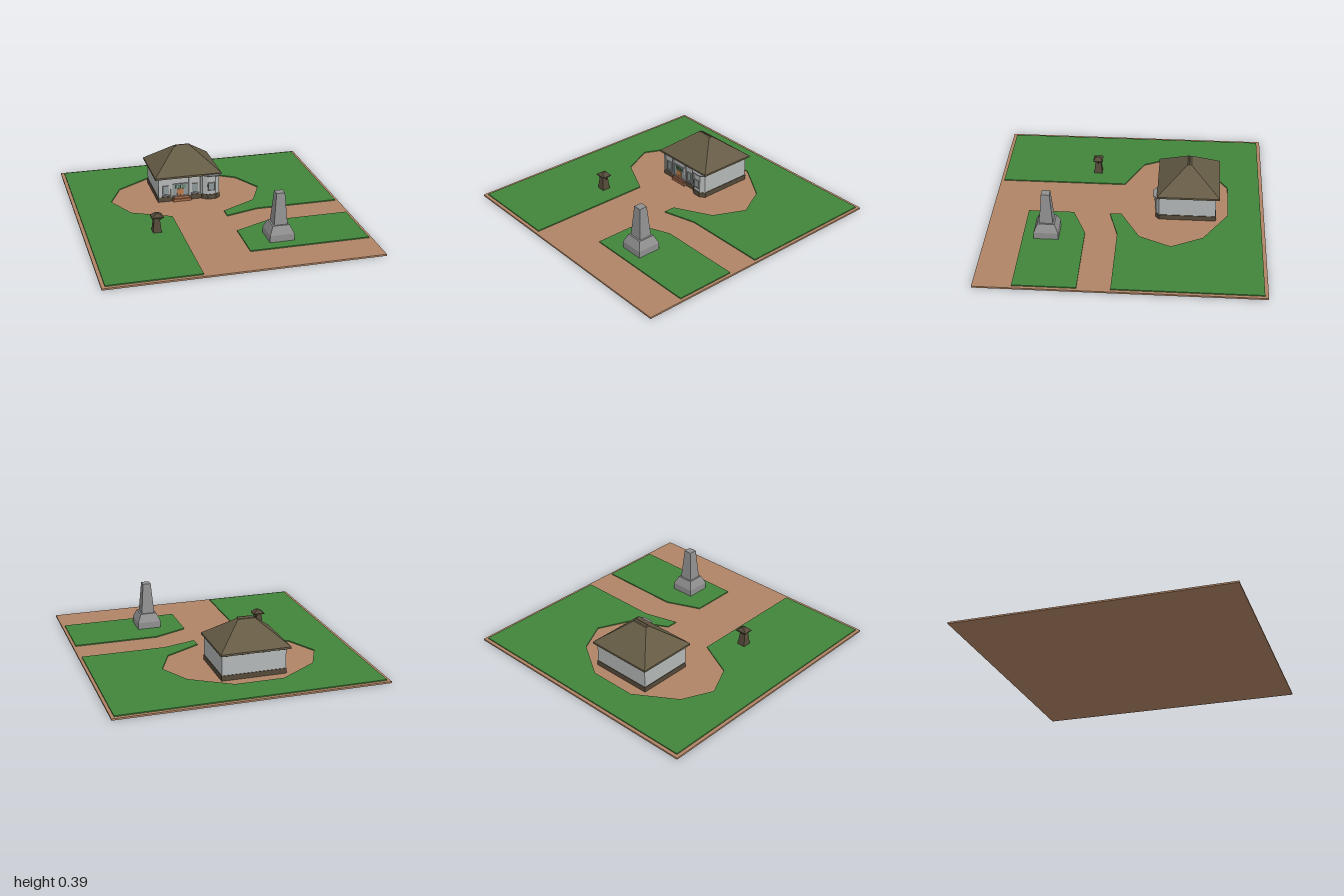
import * as THREE from 'three';

const paint = (name, color) => {
  const m = new THREE.MeshStandardMaterial({ color });
  m.name = name;
  return m;
};

export function createModel() {
  const dirt = paint('dirt', 0xb08465);
  const grass = paint('grass', 0x42853b);
  const thatch = paint('roof brown', 0x655b45);
  const wall = paint('wall grey', 0xb4b8b7);
  const stone = paint('stone grey', 0x909090);
  const plinth = paint('dark timber', 0x554a3a);
  const brick = paint('step brick', 0xa0684a);
  const wood = paint('door wood', 0xb87a4a);
  const glass = paint('window glass', 0x8d9898);
  const green = paint('shutter green', 0x3f7a52);

  const model = new THREE.Group();
  model.name = 'villageSquare';
  const group = (name) => {
    const g = new THREE.Group();
    g.name = name;
    model.add(g);
    return g;
  };
  const add = (parent, name, geo, mat) => {
    const m = new THREE.Mesh(geo, mat);
    m.name = name;
    parent.add(m);
    return m;
  };
  // Box given by its limits
  const box = (parent, name, mat, x0, x1, y0, y1, z0, z1) =>
    add(parent, name, new THREE.BoxGeometry(x1 - x0, y1 - y0, z1 - z0)
      .translate((x0 + x1) / 2, (y0 + y1) / 2, (z0 + z1) / 2), mat);
  // Box whose top rectangle differs from its bottom one
  const taper = (parent, name, mat, x, z, y0, y1, w0, d0, w1, d1) => {
    const geo = new THREE.BoxGeometry(1, y1 - y0, 1);
    const p = geo.attributes.position;
    for (let i = 0; i < p.count; i++) {
      const top = p.getY(i) > 0;
      p.setX(i, p.getX(i) * (top ? w1 : w0));
      p.setZ(i, p.getZ(i) * (top ? d1 : d0));
    }
    const flat = geo.toNonIndexed();
    flat.computeVertexNormals();
    return add(parent, name, flat.translate(x, (y0 + y1) / 2, z), mat);
  };
  // Slab from an outline of [x, z] points
  const slab = (parent, name, mat, points, y0, y1) => {
    const shape = new THREE.Shape(points.map(([x, z]) => new THREE.Vector2(x, -z)));
    const geo = new THREE.ExtrudeGeometry(shape, { depth: y1 - y0, bevelEnabled: false });
    return add(parent, name, geo.rotateX(-Math.PI / 2).translate(0, y0, 0), mat);
  };

  // Ground with two lawns around the paths and the clearing
  const ground = group('ground');
  box(ground, 'earthBase', dirt, -0.98, 0.975, 0, 0.012, -1, 1);
  slab(ground, 'mainLawn', grass, [
    [-0.955, 0.975], [-0.3, 0.975], [-0.3, 0.045], [-0.58, -0.09], [-0.69, -0.32],
    [-0.585, -0.545], [-0.295, -0.735], [0.06, -0.735], [0.345, -0.555], [0.46, -0.33],
    [0.355, -0.1], [0.09, 0.045], [0.09, 0.13], [0.335, 0.06], [0.953, 0.06],
    [0.953, -0.975], [-0.955, -0.975]], 0.012, 0.02);
  slab(ground, 'smallLawn', grass, [
    [0.09, 0.395], [0.335, 0.29], [0.953, 0.29], [0.953, 0.73], [0.09, 0.73]], 0.012, 0.02);

  // House body
  const house = group('house');
  box(house, 'plinth', plinth, -0.347, 0.127, 0.012, 0.05, -0.647, -0.238);
  box(house, 'walls', wall, -0.343, 0.123, 0.05, 0.2, -0.643, -0.242);

  // Hipped roof with a short ridge
  box(house, 'eaves', thatch, -0.37, 0.14, 0.2, 0.214, -0.67, -0.215);
  taper(house, 'roof', thatch, -0.115, -0.4425, 0.214, 0.375, 0.51, 0.455, 0.125, 0.03);
  taper(house, 'ridge', thatch, -0.11, -0.435, 0.375, 0.386, 0.115, 0.022, 0.11, 0.008);

  // Chamfered bay at the front right corner
  const bay = (o, y0, y1, name, mat) => slab(house, name, mat, [
    [-0.005 - o, -0.245], [-0.005 - o, -0.232], [0.03, -0.208 + o], [0.092, -0.208 + o],
    [0.125 + o, -0.232], [0.125 + o, -0.245]], y0, y1);
  bay(0.004, 0.012, 0.05, 'bayPlinth', plinth);
  bay(0, 0.05, 0.2, 'bayWall', wall);
  slab(house, 'bayCanopy', stone, [
    [0, -0.24], [0, -0.212], [0.035, -0.187], [0.108, -0.187],
    [0.138, -0.212], [0.138, -0.24]], 0.2, 0.206);

  // Framed windows; z is the wall face
  const window = (x0, x1, y0, y1, z) => {
    const t = 0.005;
    box(house, 'windowPane', glass, x0, x1, y0, y1, z, z + 0.003);
    for (const x of [x0, x1 - t]) box(house, 'windowJamb', stone, x, x + t, y0, y1, z, z + 0.008);
    for (const y of [y0, y1 - t]) box(house, 'windowRail', stone, x0, x1, y, y + t, z, z + 0.009);
  };
  for (const x of [-0.31, -0.085]) {
    window(x, x + 0.045, 0.065, 0.14, -0.242);
    box(house, 'windowSill', stone, x - 0.006, x + 0.051, 0.058, 0.065, -0.242, -0.228);
  }
  window(0.033, 0.089, 0.08, 0.145, -0.208);
  box(house, 'bayLamp', plinth, 0.03, 0.036, 0.11, 0.13, -0.208, -0.195);

  // Entrance: surround, door, slatted fanlight and steps
  window(-0.235, -0.115, 0.05, 0.15, -0.242);
  box(house, 'door', wood, -0.2, -0.15, 0.05, 0.108, -0.24, -0.234);
  box(house, 'doorPanel', plinth, -0.18, -0.17, 0.05, 0.068, -0.234, -0.232);
  for (let i = 0; i < 5; i++) {
    const x = -0.21 + i * 0.017;
    box(house, 'greenSlat', green, x, x + 0.006, 0.112, 0.138, -0.24, -0.234);
  }
  box(house, 'lowerStep', brick, -0.235, -0.095, 0.012, 0.032, -0.24, -0.217);
  box(house, 'upperStep', brick, -0.225, -0.105, 0.032, 0.05, -0.24, -0.226);

  // Pilasters along the front
  for (const x of [-0.343, -0.25, -0.11, -0.02])
    box(house, 'pilaster', wall, x, x + 0.012, 0.05, 0.2, -0.243, -0.232);

  // Rafter ends under the eaves
  for (let i = 0; i < 12; i++) {
    const x = -0.33 + i * 0.038;
    box(house, 'rafterEnd', plinth, x, x + 0.008, 0.19, 0.2, -0.652, -0.64);
  }

  // Stone obelisk
  const obelisk = group('obelisk');
  const ox = 0.343, oz = 0.56;
  box(obelisk, 'obeliskBase', stone, ox - 0.088, ox + 0.088, 0.012, 0.07, oz - 0.088, oz + 0.088);
  taper(obelisk, 'obeliskShoulder', stone, ox, oz, 0.07, 0.13, 0.176, 0.176, 0.122, 0.122);
  taper(obelisk, 'obeliskShaft', stone, ox, oz, 0.13, 0.36, 0.098, 0.098, 0.06, 0.06);

  // Small wooden well-house with a capped roof
  const post = group('wellHouse');
  const px = -0.465, pz = 0.262;
  taper(post, 'taperedBody', plinth, px, pz, 0.012, 0.115, 0.064, 0.064, 0.042, 0.042);
  box(post, 'neck', plinth, px - 0.02, px + 0.02, 0.115, 0.132, pz - 0.02, pz + 0.02);
  box(post, 'capEaves', plinth, px - 0.038, px + 0.046, 0.13, 0.137, pz - 0.036, pz + 0.036);
  taper(post, 'cap', plinth, px + 0.004, pz, 0.137, 0.16, 0.084, 0.072, 0.02, 0.03);
  const crank = new THREE.CatmullRomCurve3([
    new THREE.Vector3(px + 0.02, 0.1, pz), new THREE.Vector3(px + 0.033, 0.11, pz),
    new THREE.Vector3(px + 0.042, 0.132, pz)]);
  add(post, 'bracket', new THREE.TubeGeometry(crank, 6, 0.002, 5), plinth);

  return model;
}
